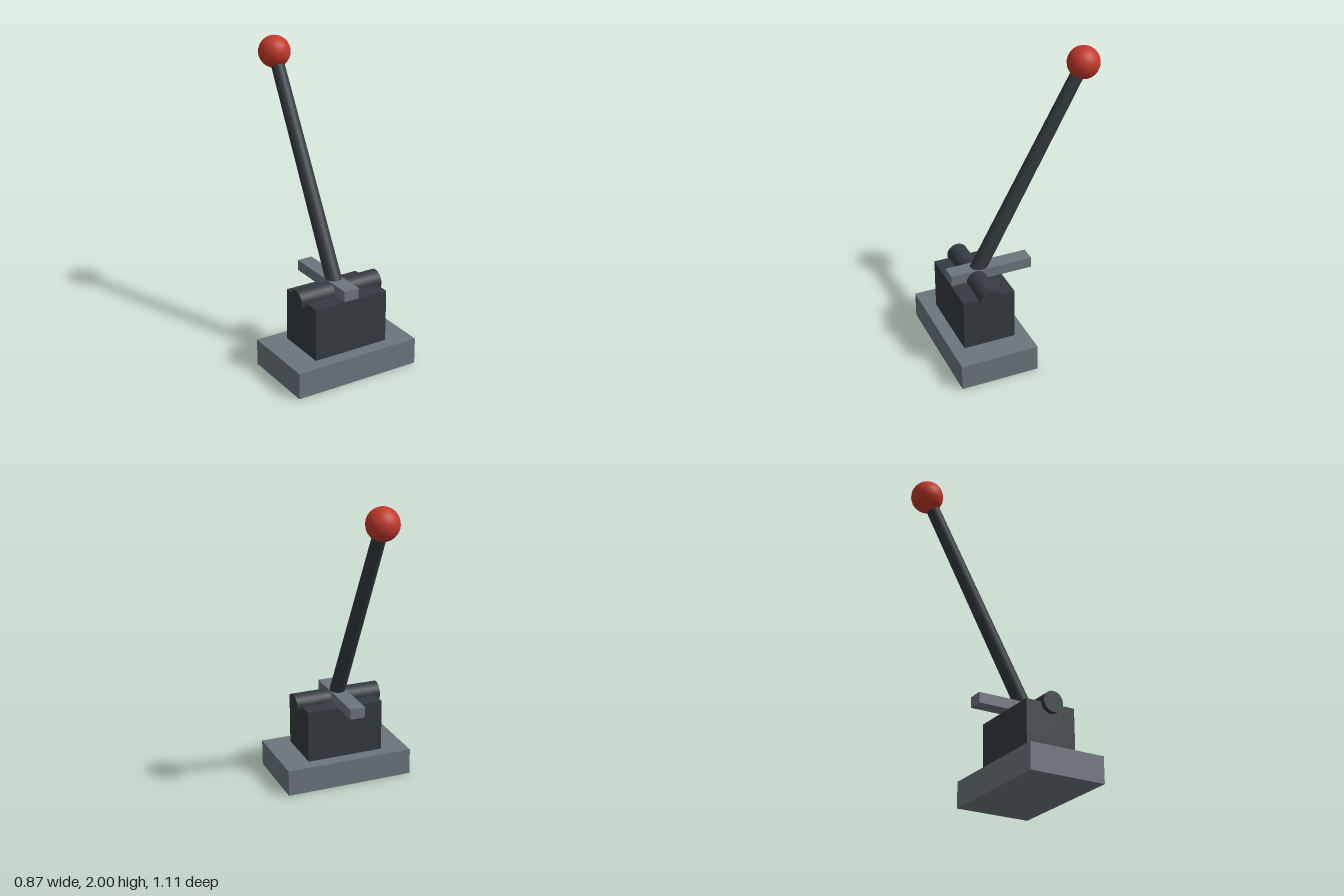
import * as THREE from 'three';

export function createModel() {
  const model = new THREE.Group();
  model.name = 'lever';

  const material = (name, color) => {
    const m = new THREE.MeshStandardMaterial({ color });
    m.name = name;
    return m;
  };
  const steel = material('grey steel', 0x6c757d);
  const iron = material('dark iron', 0x343a40);
  const red = material('red knob', 0xc0392b);

  const add = (name, geometry, mat, x, y, z) => {
    const mesh = new THREE.Mesh(geometry, mat);
    mesh.name = name;
    mesh.position.set(x, y, z);
    model.add(mesh);
    return mesh;
  };

  // Stacked base plate and housing
  add('basePlate', new THREE.BoxGeometry(0.866, 0.175, 0.52), steel, 0, 0.0875, 0.295);
  add('housing', new THREE.BoxGeometry(0.52, 0.348, 0.348), iron, 0, 0.349, 0.295);

  // Guide bar running back over the housing
  add('guideBar', new THREE.BoxGeometry(0.104, 0.07, 0.555), steel, 0, 0.559, 0.1905);

  // Pivot pin lying across the housing
  const pivot = new THREE.Vector3(0, 0.524, 0.295);
  const pin = add('pivotPin', new THREE.CylinderGeometry(0.069, 0.069, 0.592, 24), iron, ...pivot);
  pin.rotation.z = Math.PI / 2;

  // Tapered rod leaning back from the pivot to the knob
  const knob = new THREE.Vector3(0, 1.896, -0.451);
  const direction = knob.clone().sub(pivot);
  const middle = pivot.clone().add(knob).multiplyScalar(0.5);
  const rod = add('leverRod', new THREE.CylinderGeometry(0.043, 0.052, direction.length(), 24), iron, ...middle);
  rod.quaternion.setFromUnitVectors(new THREE.Vector3(0, 1, 0), direction.normalize());

  add('knob', new THREE.SphereGeometry(0.104, 24, 16), red, ...knob);

  return model;
}
